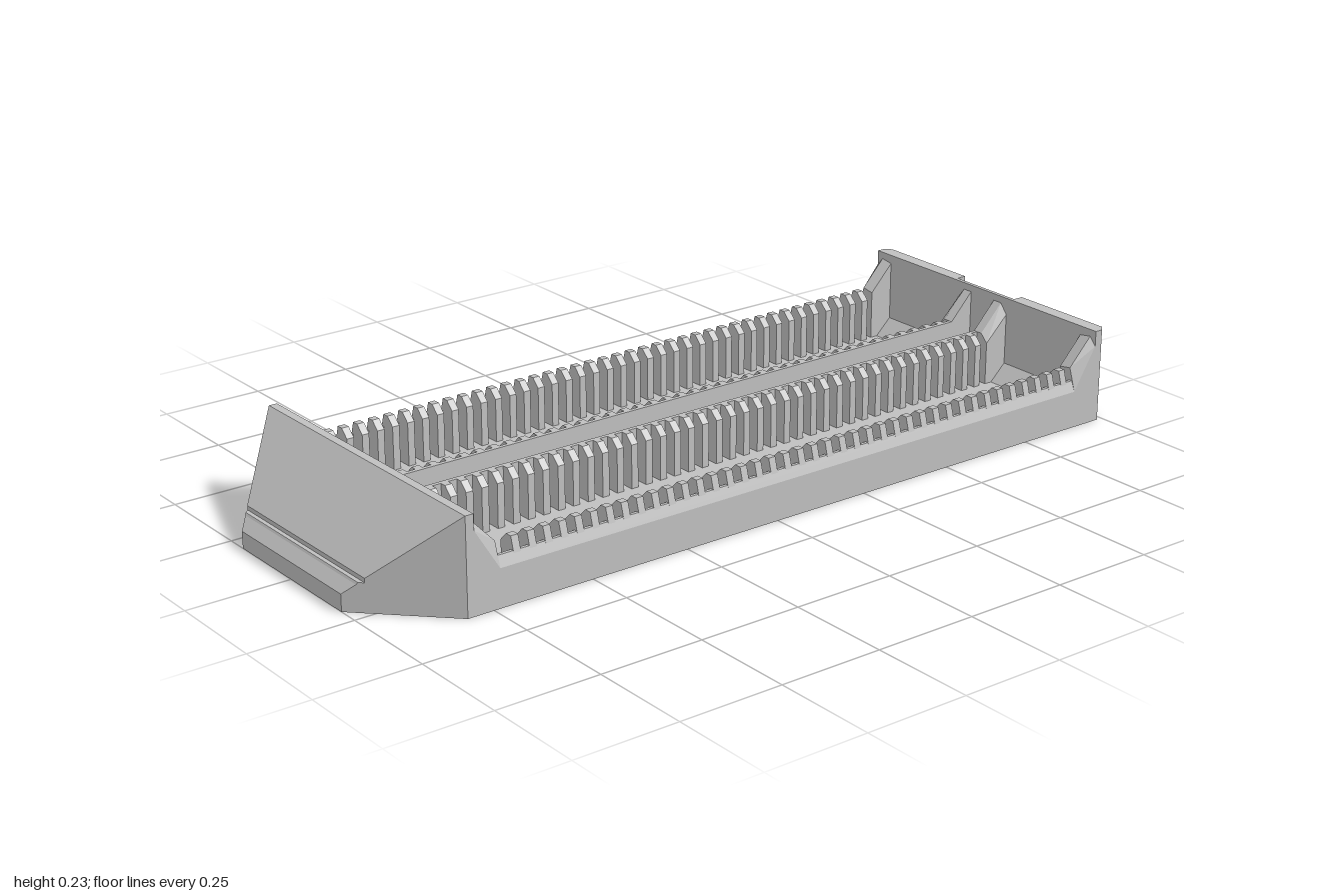
import * as THREE from 'three';
import { mergeGeometries } from 'three/addons/utils/BufferGeometryUtils.js';
import { ConvexGeometry } from 'three/addons/geometries/ConvexGeometry.js';

const W = 0.385, H = 0.227, FLOOR = 0.02;
const FRONT = 0.815, FRONT_IN = 0.795, BACK_IN = -0.965;

// Polygon in x/y, extruded from z0 to z1
function prism(points, z0, z1, holes = []) {
  const shape = new THREE.Shape(points.map(([x, y]) => new THREE.Vector2(x, y)));
  for (const hole of holes) shape.holes.push(new THREE.Path(hole.map(([x, y]) => new THREE.Vector2(x, y))));
  return new THREE.ExtrudeGeometry(shape, { depth: z1 - z0, bevelEnabled: false }).translate(0, 0, z0);
}

function block(x0, x1, y0, y1, z0, z1) {
  return new THREE.BoxGeometry(x1 - x0, y1 - y0, z1 - z0)
    .translate((x0 + x1) / 2, (y0 + y1) / 2, (z0 + z1) / 2);
}

function hull(points) {
  return new ConvexGeometry(points.map((p) => new THREE.Vector3(...p)));
}

// Skin over rectangular sections [z, height, halfWidth], open at the bottom
function hood(sections, inward) {
  const rows = sections.map(([z, y, w]) => [[-w, 0, z], [-w, y, z], [w, y, z], [w, 0, z]]);
  const pos = [];
  for (let i = 0; i < rows.length - 1; i++) {
    for (let j = 0; j < 3; j++) {
      const a = rows[i][j], b = rows[i][j + 1], c = rows[i + 1][j + 1], d = rows[i + 1][j];
      const tris = inward ? [d, b, c, d, a, b] : [d, c, b, d, b, a];
      pos.push(...tris.flat());
    }
  }
  const g = new THREE.BufferGeometry();
  g.setAttribute('position', new THREE.Float32BufferAttribute(pos, 3));
  g.computeVertexNormals();
  return g;
}

export function createModel() {
  const model = new THREE.Group();
  model.name = 'tray';
  const grey = new THREE.MeshStandardMaterial({ color: 0xc0c0c0, side: THREE.DoubleSide, flatShading: true });
  grey.name = 'grey plastic';
  const add = (name, geometry) => {
    const mesh = new THREE.Mesh(geometry, grey);
    mesh.name = name;
    model.add(mesh);
  };

  // Floor and end walls
  add('floor', block(-W, W, 0, FLOOR, -0.975, FRONT_IN));
  add('frontWall', block(-W, W, 0, H, FRONT_IN, FRONT));
  add('backWall', block(-W, W, 0, H, -0.975, BACK_IN));

  // Sloping fillets where the floor meets the end walls
  for (const [name, z, dir] of [['frontFillet', FRONT_IN, -1], ['backFillet', BACK_IN, 1]]) {
    const pts = [];
    for (const x of [-0.38, 0.38]) pts.push([x, FLOOR, z], [x, 0.06, z], [x, FLOOR, z + dir * 0.042]);
    add(name, hull(pts));
  }

  // Hollow tapered handle with a narrow step across its slope
  add('handleSkin', hood([
    [FRONT, H, W], [0.964, 0.078, 0.236], [0.964, 0.068, 0.236],
    [0.974, 0.068, 0.226], [0.977, 0.063, 0.223], [1, 0.04, 0.2], [1, 0, 0.2],
  ], false));
  add('handleHollow', hood([[FRONT, 0.185, 0.35], [0.978, 0.03, 0.187], [0.978, 0, 0.187]], true));
  const rim = new THREE.Shape([[-W, FRONT], [-0.35, FRONT], [-0.187, 0.978], [0.187, 0.978], [0.35, FRONT],
    [W, FRONT], [0.2, 1], [-0.2, 1]].map(([x, y]) => new THREE.Vector2(x, y)));
  add('handleRim', new THREE.ShapeGeometry(rim).rotateX(Math.PI / 2));

  const ribs = [];
  for (const s of [1, -1]) {
    const side = s > 0 ? 'left' : 'right';
    const mirror = (pts) => pts.map(([x, ...rest]) => [s * x, ...rest]);

    // Side wall with sloped shoulder, and the inner divider
    add(side + 'Wall', prism(mirror([[W, 0], [W, 0.09], [0.375, 0.115], [0.367, 0.115], [0.367, 0]]), BACK_IN, FRONT_IN));
    add(side + 'Divider', prism(mirror([[0.04, FLOOR], [0.05, FLOOR], [0.05, 0.145], [0.04, 0.145]]), BACK_IN, FRONT_IN));

    // Upright ribs that form the slots
    const outer = mirror([[0.33, FLOOR], [0.33, 0.125], [0.35, 0.145], [0.367, 0.145], [0.377, 0.11], [0.377, FLOOR]]);
    const inner = mirror([[0.05, FLOOR], [0.085, FLOOR], [0.085, 0.125], [0.065, 0.145], [0.05, 0.145]]);
    for (let i = 0; i < 40; i++) {
      const z = -0.875 + i * 0.04;
      ribs.push(prism(outer, z - 0.009, z + 0.009), prism(inner, z - 0.009, z + 0.009));
    }

    // Sloped braces at both ends of each rib row
    for (const [end, z, dir] of [['Front', FRONT_IN, -1], ['Back', BACK_IN, 1]]) {
      const tip = z + dir * 0.062;
      const profile = (x, low, high) => [[x, 0.005, z], [x, high, z], [x, low, tip], [x, 0.005, tip]];
      add(side + end + 'OuterBrace', hull(mirror([
        ...profile(0.335, 0.14, 0.205), ...profile(0.367, 0.145, 0.21), ...profile(W, 0.09, 0.19)])));
      add(side + end + 'DividerBrace', hull(mirror([
        ...profile(0.04, 0.145, 0.21), ...profile(0.065, 0.145, 0.21), ...profile(0.085, 0.125, 0.185)])));
    }

    // Raised rear panel with a tapered six-sided pocket
    const hex = [];
    for (let i = 0; i < 6; i++) {
      const a = (i * Math.PI) / 3;
      hex.push([s * 0.24 + 0.125 * Math.cos(a), 0.113 + 0.106 * Math.sin(a)]);
    }
    add(side + 'RearPanel', prism(mirror([[0.1, 0], [0.37, 0], [0.37, H], [0.1, H]]), -1, -0.975, [hex]));
    const pocket = new THREE.CylinderGeometry(0.098, 0.125, 0.025, 6, 1, true).toNonIndexed()
      .rotateY(Math.PI / 2).rotateX(Math.PI / 2).scale(-1, 0.85, 1).translate(s * 0.24, 0.113, -0.9875);
    pocket.computeVertexNormals();
    add(side + 'RearPocket', pocket);
    // Bevelled rear corner
    const corner = [];
    for (const y of [0, H]) corner.push([0.37, y, -1], [0.37, y, -0.975], [W, y, -0.975], [W, y, -0.985]);
    add(side + 'RearCorner', hull(mirror(corner)));
  }
  add('slotRibs', mergeGeometries(ribs));

  // Small catch at the foot of the rear recess
  add('rearCatch', block(-0.035, 0.035, 0, 0.012, -0.99, -0.975));
  return model;
}
